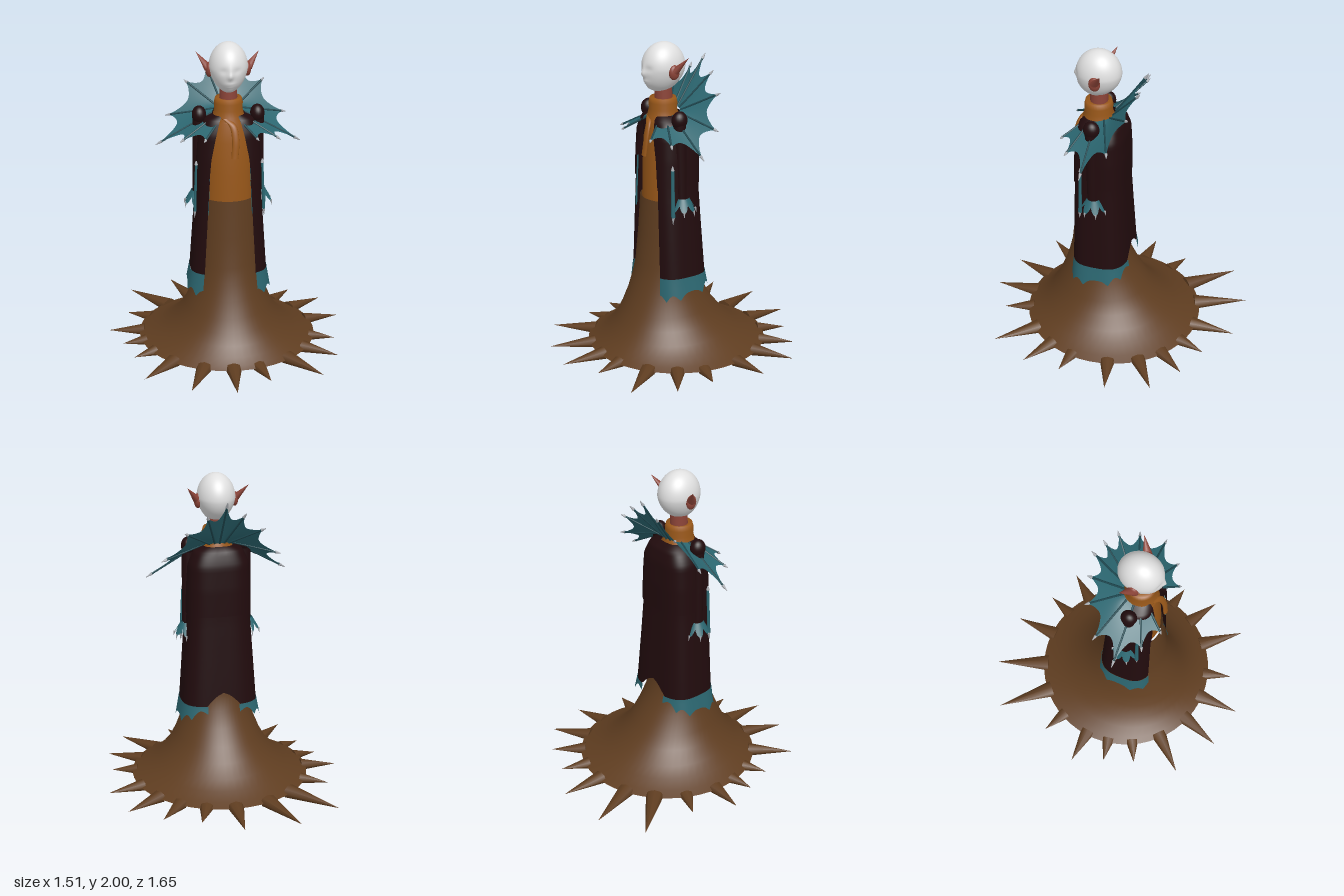
import * as THREE from 'three';
import { mergeVertices } from 'three/addons/utils/BufferGeometryUtils.js';

const mat = (name, color, double) => {
  const m = new THREE.MeshStandardMaterial({ color });
  m.name = name;
  if (double) m.side = THREE.DoubleSide;
  return m;
};
const V = (a) => new THREE.Vector3(...a);
const { sin, cos, abs, PI, max } = Math;

// Smooth surface from fn(u, v) -> [x, y, z]
function surface(nu, nv, fn) {
  const g = new THREE.PlaneGeometry(1, 1, nu, nv);
  const p = g.attributes.position, uv = g.attributes.uv;
  for (let i = 0; i < p.count; i++) p.setXYZ(i, ...fn(uv.getX(i), uv.getY(i)));
  g.deleteAttribute('uv');
  g.deleteAttribute('normal');
  const out = mergeVertices(g, 1e-5);
  out.computeVertexNormals();
  return out;
}

// Interpolate rows sorted by falling first value (height)
function rowAt(rows, y) {
  let i = 0;
  while (i < rows.length - 2 && y < rows[i + 1][0]) i++;
  const a = rows[i], b = rows[i + 1];
  const t = THREE.MathUtils.clamp((y - a[0]) / (b[0] - a[0]), 0, 1);
  return a.map((n, k) => n + (b[k] - n) * t);
}

// Elliptical body through rows of [y, half width, front z, back z]
const loft = (rows) => surface(56, rows.length - 1, (u, v) => {
  const [y, rx, f, b] = rows[Math.round((1 - v) * (rows.length - 1))];
  const a = u * PI * 2;
  return [rx * sin(a), y, (f + b) / 2 + (f - b) / 2 * cos(a)];
});

// Coat rows: [y, half width, centre z, half depth, half width of front opening]
const coatRows = [
  [1.56, .09, .08, .09, .045], [1.535, .145, .07, .125, .06], [1.45, .185, .07, .15, .083],
  [1.3, .195, .07, .157, .112], [1.12, .2, .072, .16, .128], [.9, .215, .068, .168, .14],
  [.54, .24, .06, .182, .16], [.4, .265, .053, .198, .172],
];
function coatPoint(u, y, grow = 0) {
  const [, rx, zc, rz, ex] = rowAt(coatRows, y);
  const a0 = Math.asin(Math.pow(ex / rx, 1 / .65));
  const a = a0 + u * (2 * PI - 2 * a0);
  const pw = (n) => Math.sign(n) * Math.pow(abs(n), .65);
  return [(rx + grow) * pw(sin(a)), y, zc + (rz + grow) * pw(cos(a))];
}

export function createModel() {
  const root = new THREE.Group();
  const brown = mat('skirt brown', 0x5f3d20, true);
  const orange = mat('shirt orange', 0x985719, true);
  const maroon = mat('coat maroon', 0x210b0d, true);
  const teal = mat('fin teal', 0x2b6670, true);
  const darkTeal = mat('rib teal', 0x1d464e);
  const skin = mat('skin red', 0x8c4438);
  const white = mat('mask white', 0xe0e0e0);
  const grey = mat('claw grey', 0xa8abb0);

  const add = (name, geo, m, pos = [0, 0, 0], scale = [1, 1, 1]) => {
    const mesh = new THREE.Mesh(geo, m);
    mesh.name = name;
    mesh.position.set(...pos);
    mesh.scale.set(...scale);
    root.add(mesh);
    return mesh;
  };
  // Cone or tapered rod from one point to another
  const rod = (name, from, to, r0, r1, m, flat = 1, sides = 8) => {
    const len = V(from).distanceTo(V(to));
    const g = new THREE.CylinderGeometry(r1, r0, len, sides).translate(0, len / 2, 0).rotateX(PI / 2).scale(1, flat, 1);
    const mesh = add(name, g, m, from);
    mesh.lookAt(V(to));
    return mesh;
  };
  const ball = (name, pos, scale, m) => add(name, new THREE.SphereGeometry(1, 24, 16), m, pos, scale);

  // Flared skirt and shirt
  add('skirt', loft([
    [1.03, .165, .235, -.05], [.8, .18, .25, -.07], [.6, .19, .272, -.09], [.5, .205, .295, -.115],
    [.4, .235, .325, -.165], [.3, .275, .365, -.225], [.22, .32, .405, -.29], [.15, .385, .45, -.365],
    [.1, .45, .5, -.44], [.065, .52, .54, -.515], [.045, .565, .57, -.565],
  ]), brown);
  add('shirt', loft([
    [1.58, .07, .165, .01], [1.53, .11, .19, -.01], [1.4, .145, .21, -.03], [1.2, .15, .22, -.04], [1.02, .155, .222, -.045],
  ]), orange);

  // Spikes around the hem, given by the x and z of their tips
  [[-.31, -.83], [.04, -.82], [.27, -.67], [.49, -.58], [.68, -.43], [.755, -.155], [.68, .17], [.665, .415], [.53, .66],
    [.2, .7], [-.02, .825], [-.29, .77], [-.565, .6], [-.615, .31], [-.68, .115], [-.76, -.085], [-.63, -.335], [-.595, -.69]]
    .forEach(([x, z]) => {
      const len = Math.hypot(x, z), k = .535 / len;
      rod('hemSpike', [x * k, .043, z * k], [x, .035, z], .042 + (len - .66) * .06, 0, brown, .72, 8);
    });

  // Coat: jacket, tails with a notch at the back, torn teal trim
  add('jacket', surface(72, 18, (u, v) => coatPoint(u, 1.13 + v * .43, .006)), maroon);
  add('coatTails', surface(96, 10, (u, v) => {
    const low = .54 + .09 * max(0, 1 - abs(u - .5) / .06);
    return coatPoint(u, low + v * (1.16 - low));
  }), maroon);
  for (const s of [1, -1]) {
    add('coatTrim', surface(64, 4, (t, v) => {
      const w = s > 0 ? t : 1 - t;
      const low = .395 + .1 * w * w + .04 * abs(cos(w * PI * 4.5));
      const u = s > 0 ? w * .45 : 1 - w * .45;
      return coatPoint(u, low + v * (.545 - low), .003);
    }), teal);
  }

  // High collar, neck and hanging scarf end
  add('collar', new THREE.LatheGeometry([[.105, 1.52], [.096, 1.55], [.086, 1.59], [.088, 1.63], [.08, 1.66], [.05, 1.655]]
    .map((p) => new THREE.Vector2(...p)), 32), orange, [0, 0, .098]);
  add('neck', new THREE.CylinderGeometry(.053, .056, .15, 24), skin, [0, 1.67, .095]);
  const scarf = new THREE.CatmullRomCurve3([[-.03, 1.55, .18], [.015, 1.51, .212], [.03, 1.43, .236], [.024, 1.315, .25]].map(V));
  add('scarfEnd', surface(16, 20, (u, v) => {
    const p = scarf.getPoint(1 - v), a = u * PI * 2;
    return [p.x + .022 * sin(a), p.y, p.z + .012 * cos(a)];
  }), orange);

  // Head: egg shape with gentle nose, lips and eye hollows
  const bump = (x, y, cx, cy, sx, sy) => Math.exp(-(((x - cx) / sx) ** 2) - ((y - cy) / sy) ** 2);
  add('head', surface(64, 48, (u, v) => {
    const a = u * PI * 2 - PI, t = v * PI;
    const nx = sin(t) * sin(a), ny = -cos(t), nz = sin(t) * cos(a);
    const low = max(0, -ny);
    let z = nz * .14 + low * low * .012;
    if (nz < 0) z += low * .015;
    else {
      z += .016 * bump(nx, ny, 0, -.18, .13, .14) + .006 * bump(nx, ny, 0, .02, .1, .2);
      z += .012 * bump(nx, ny, 0, -.55, .3, .13) + .012 * bump(nx, ny, 0, -.8, .25, .12);
      z -= .007 * (bump(nx, ny, .35, .03, .2, .12) + bump(nx, ny, -.35, .03, .2, .12));
      z -= .005 * bump(nx, ny, 0, -.56, .25, .03);
    }
    return [nx * .118 * (1 - .16 * low), 1.847 + ny * .153, .095 + z];
  }), white);

  // Fan collar: one rib per [tip, base], from the back round to the front
  const half = [
    [[.12, 1.81, -.19], [.03, 1.58, 0]], [[.25, 1.7, -.155], [.06, 1.575, .01]],
    [[.375, 1.505, -.06], [.085, 1.57, .04]], [[.445, 1.365, .09], [.1, 1.56, .09]],
    [[.305, 1.42, .225], [.09, 1.545, .13]], [[.165, 1.44, .295], [.065, 1.53, .17]],
  ];
  const flip = ([x, y, z]) => [-x, y, z];
  const ribs = [...half.map((r) => r.map(flip)).reverse(), [[0, 1.89, -.21], [0, 1.58, -.005]], ...half];
  const n = ribs.length - 1;
  add('fanMembrane', surface(n * 10, 8, (u, v) => {
    const i = Math.min(n - 1, Math.floor(u * n + 1e-6)), t = u * n - i;
    const tip = V(ribs[i][0]).lerp(V(ribs[i + 1][0]), t);
    const base = V(ribs[i][1]).lerp(V(ribs[i + 1][1]), t);
    const reach = .93 - .25 * Math.pow(max(0, sin(PI * t)), .7);
    return base.lerp(tip, v * reach).toArray();
  }), teal);
  ribs.forEach(([tip, base]) => {
    const claw = V(base).lerp(V(tip), .89).toArray();
    rod('fanRib', base, claw, .007, .006, darkTeal);
    rod('fanClaw', claw, tip, .01, .002, grey);
  });

  for (const s of [1, -1]) {
    // Pointed ears
    ball('ear', [s * .116, 1.832, .09], [.022, .046, .036], skin);
    rod('earTip', [s * .12, 1.84, .085], [s * .192, 1.93, .035], .03, 0, skin, .8, 12);

    // Shoulder, sleeve and flared cuff with clawed points
    ball('shoulder', [s * .178, 1.55, .092], [.044, .056, .05], maroon);
    rod('sleeve', [s * .178, 1.54, .092], [s * .188, 1.06, .085], .04, .033, maroon, 1, 16);
    add('cuff', surface(36, 3, (u, v) => {
      const a = (u - .5) * 2.6, down = (1 - v) * (.45 + .55 * abs(cos(u * PI * 3)));
      const r = .04 + .045 * down;
      return [s * (.19 + r * cos(a)), 1.06 - .08 * down, .078 + r * sin(a)];
    }), teal);
    for (const a of [-1.3, -.433, .433, 1.3]) {
      const at = (r, y) => [s * (.19 + r * cos(a)), y, .078 + r * sin(a)];
      rod('cuffClaw', at(.082, .988), at(.09, .955), .007, .001, grey);
    }

    // Thin sleeve blade and lining strip at the coat edge
    rod('sleeveBlade', [s * .203, 1.25, .157], [s * .214, .95, .16], .01, .013, teal, .7);
    rod('bladeTop', [s * .203, 1.25, .157], [s * .203, 1.275, .157], .011, .004, grey);
    rod('bladeClaw', [s * .214, .95, .16], [s * .216, .9, .163], .01, 0, grey);
    rod('edgeStrip', [s * .124, 1.27, .205], [s * .139, .94, .212], .006, .008, teal, .6);

    // Legs and shoes under the skirt
    rod('leg', [s * .065, .6, .07], [s * .065, .12, .05], .07, .05, brown, 1, 16);
    ball('shoe', [s * .07, .1, .1], [.058, .046, .12], maroon);
  }
  return root;
}
